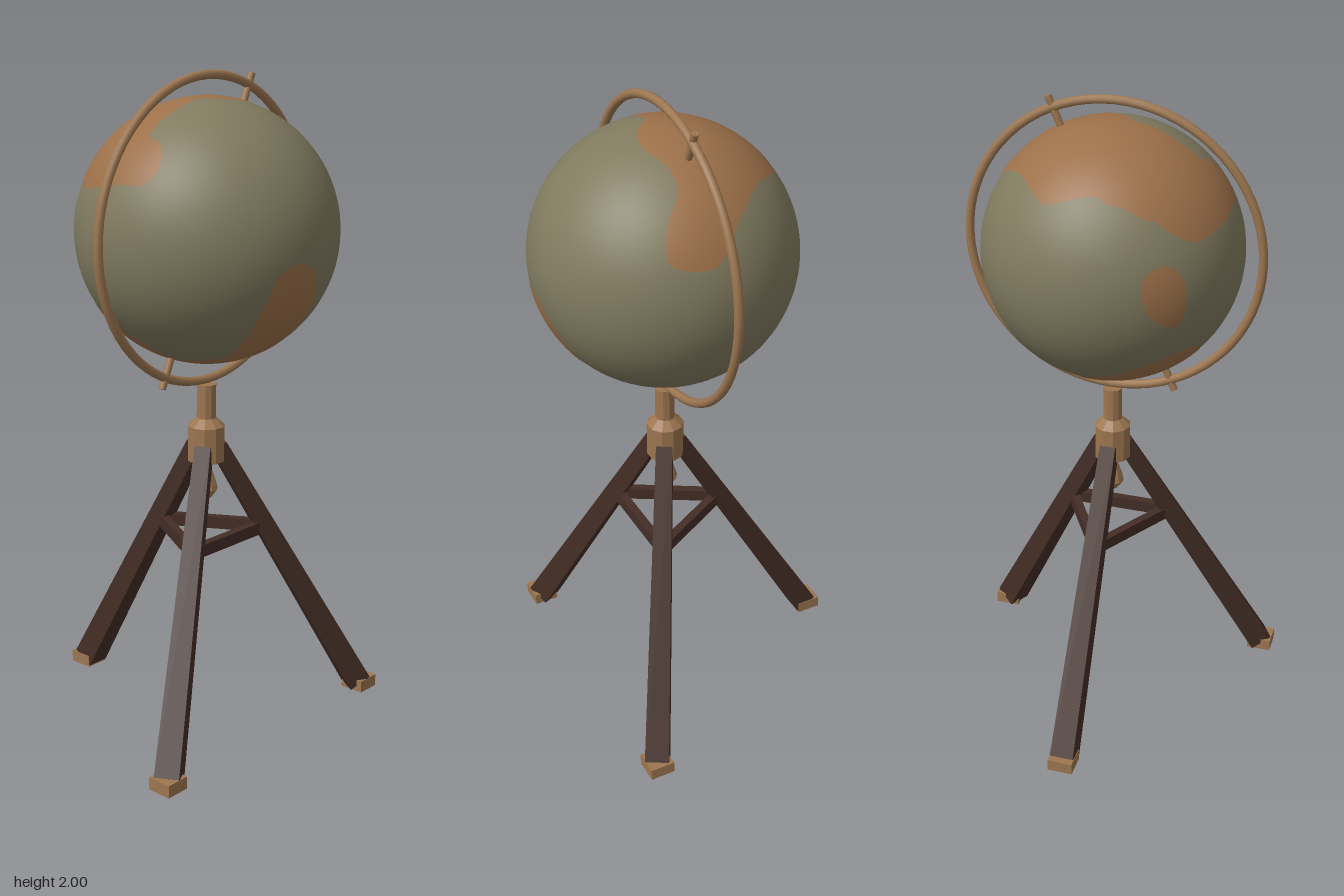
import * as THREE from 'three';

const mat = (name, color, flatShading = false) => {
  const m = new THREE.MeshStandardMaterial({ color });
  m.name = name;
  m.flatShading = flatShading;
  return m;
};

const RADIUS = 0.39;

// Thin land patch: a smooth clockwise outline on the unit disc, filled out from a centre and wrapped on the globe
function landGeometry(centre, outline) {
  const lift = ([x, y]) => {
    const k = Math.min(1, 0.995 / Math.hypot(x, y));
    x *= k; y *= k;
    return new THREE.Vector3(x, y, Math.sqrt(1 - x * x - y * y));
  };
  const curve = new THREE.CatmullRomCurve3(outline.map(([x, y]) => new THREE.Vector3(x, y, 0)), true);
  const rim = curve.getPoints(80).map((p) => lift([p.x, p.y]));
  const mid = lift(centre), rings = 16, cols = rim.length;
  const pos = [], nor = [], idx = [];
  for (let i = 0; i <= rings; i++) {
    for (let j = 0; j < cols; j++) {
      const d = mid.clone().lerp(rim[j], i / rings).normalize();
      nor.push(d.x, d.y, d.z);
      d.multiplyScalar(RADIUS + 0.0015);
      pos.push(d.x, d.y, d.z);
      if (i < rings && j < cols - 1) {
        const a = i * cols + j, b = a + cols;
        idx.push(a + 1, b + 1, b, a + 1, b, a);
      }
    }
  }
  const g = new THREE.BufferGeometry();
  g.setAttribute('position', new THREE.Float32BufferAttribute(pos, 3));
  g.setAttribute('normal', new THREE.Float32BufferAttribute(nor, 3));
  g.setIndex(idx);
  return g;
}

export function createModel() {
  const model = new THREE.Group();
  model.name = 'globeOnTripod';
  const sea = mat('sea', 0x807a5f);
  const land = mat('land', 0x9c7049);
  const brass = mat('brass', 0x9c7650);
  const wood = mat('darkWood', 0x432e26, true);

  const add = (parent, name, geo, material, x = 0, y = 0, z = 0) => {
    const m = new THREE.Mesh(geo, material);
    m.name = name;
    m.position.set(x, y, z);
    parent.add(m);
    return m;
  };

  // Everything stands around a vertical axis slightly in front of the centre
  const stand = new THREE.Group();
  stand.name = 'stand';
  stand.position.z = 0.09;
  model.add(stand);

  // Globe, ring and tilted axle
  const globe = new THREE.Group();
  globe.name = 'globe';
  globe.position.y = 1.535;
  stand.add(globe);
  add(globe, 'sphere', new THREE.SphereGeometry(RADIUS, 64, 48), sea);
  add(globe, 'ring', new THREE.TorusGeometry(0.45, 0.0135, 10, 72), brass);
  add(globe, 'axle', new THREE.CylinderGeometry(0.011, 0.011, 0.97, 10), brass).rotation.z = -0.415;

  // Land masses
  const H = Math.PI / 2;
  const lands = [
    ['northWestLand', [-H, 0], [-0.58, 0.29], [[-0.9, 0.01], [-0.89, 0.22], [-0.79, 0.5], [-0.65, 0.63],
      [-0.44, 0.69], [-0.1, 0.72], [-0.03, 0.39], [-0.18, -0.03], [-0.44, -0.03], [-0.65, -0.03],
      [-0.68, -0.16], [-0.79, -0.25], [-0.87, -0.19]]],
    ['northEastLand', [-H, 0], [0.46, 0.22], [[-0.51, 0.67], [-0.1, 0.72], [0.28, 0.75], [0.42, 0.63],
      [0.56, 0.46], [0.77, 0.22], [0.93, -0.02], [0.91, -0.23], [0.83, -0.37], [0.73, -0.33],
      [0.61, -0.19], [0.46, -0.16], [0.18, -0.24], [-0.03, -0.17], [-0.18, -0.03], [-0.51, 0.01]]],
    ['frontLand', [0, 0], [-0.08, -0.55], [[-0.3, -0.19], [-0.13, -0.11], [0.03, -0.18], [0.16, -0.37],
      [0.19, -0.57], [0.15, -0.77], [0.07, -0.93], [-0.18, -0.95], [-0.27, -0.85], [-0.34, -0.57], [-0.33, -0.34]]],
    ['southLand', [H, 0], [-0.2, -0.15], [[0.45, -0.2], [0.12, -0.55], [-0.3, -0.68], [-0.62, -0.58],
      [-0.76, -0.38], [-0.68, -0.08], [-0.42, 0.12], [-0.28, 0.42], [0.05, 0.42], [0.25, 0.15]]],
    ['backIsland', [0, -2.48], [0, 0.02], [[-0.16, 0.16], [0, 0.25], [0.14, 0.14], [0.17, -0.08],
      [0.13, -0.23], [-0.02, -0.2], [-0.14, -0.06]]],
  ];
  for (const [name, [rx, ry], centre, outline] of lands) {
    add(globe, name, landGeometry(centre, outline), land).rotation.set(rx, ry, 0);
  }

  // Turned hub with neck, and the drop finial below it
  const brassFlat = brass.clone();
  brassFlat.flatShading = true;
  const lathe = (pts, sides) => new THREE.LatheGeometry(pts.map(([r, y]) => new THREE.Vector2(r, y)), sides, Math.PI / sides);
  add(stand, 'hub', lathe([[0, 0.83], [0.057, 0.83], [0.057, 0.94], [0.03, 0.965], [0.03, 1.07], [0, 1.07]], 10), brassFlat);
  add(stand, 'finial', lathe([[0, 0.712], [0.018, 0.712], [0.036, 0.738], [0.032, 0.755], [0.017, 0.8], [0.017, 0.84], [0, 0.84]], 10), brassFlat);

  // Three tapered legs, their feet and the braces between them
  const top = new THREE.Vector2(0.035, 0.875), end = new THREE.Vector2(0.52, 0.025);
  const span = end.clone().sub(top);
  const legGeo = new THREE.CylinderGeometry(0.05 / Math.SQRT2, 0.075 / Math.SQRT2, span.length(), 4);
  legGeo.rotateY(Math.PI / 4);
  const names = ['left', 'back', 'right'];
  for (let i = 0; i < 3; i++) {
    const a = Math.PI / 3 + i * 2 * Math.PI / 3;
    const pivot = new THREE.Group();
    pivot.name = names[i] + 'LegSet';
    pivot.rotation.y = a;
    stand.add(pivot);
    const leg = add(pivot, names[i] + 'Leg', legGeo, wood, 0, (top.y + end.y) / 2, (top.x + end.x) / 2);
    leg.rotation.x = -Math.atan2(span.x, -span.y);

    add(stand, names[i] + 'Foot', new THREE.BoxGeometry(0.078, 0.038, 0.078), brassFlat,
      0.53 * Math.sin(a), 0.019, 0.53 * Math.cos(a));

    const b = a + Math.PI / 3, r = 0.19;
    const brace = add(stand, names[i] + 'Brace', new THREE.BoxGeometry(r * Math.sqrt(3), 0.038, 0.026), wood,
      r / 2 * Math.sin(b), 0.597, r / 2 * Math.cos(b));
    brace.rotation.y = b;
  }
  return model;
}
